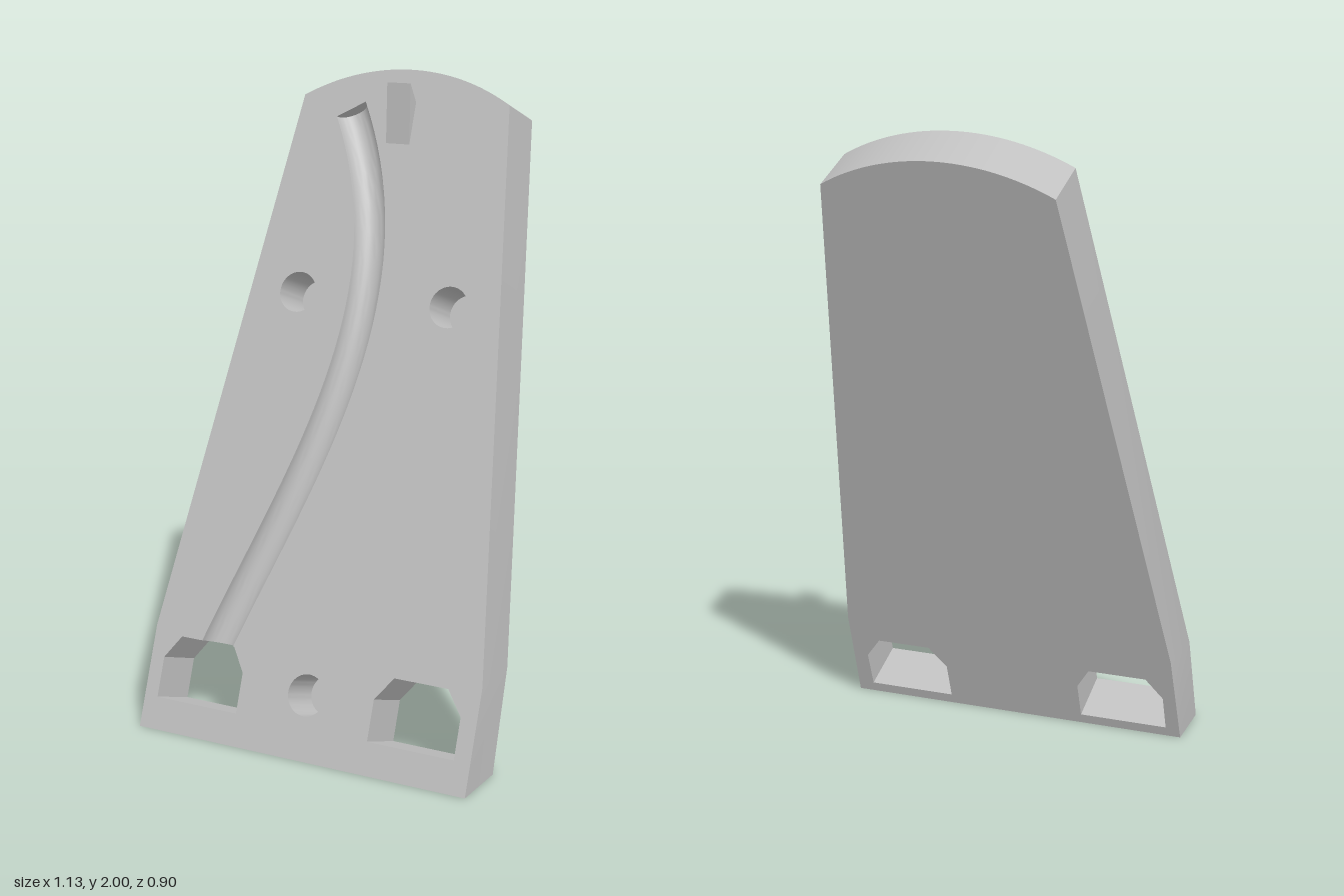
import * as THREE from 'three';
import { toCreasedNormals } from 'three/addons/utils/BufferGeometryUtils.js';

const V2 = (x, y) => new THREE.Vector2(x, y);
const V3 = (x, y, z) => new THREE.Vector3(x, y, z);
const TILT = THREE.MathUtils.degToRad(20);
const T = 0.1785; // slab thickness
const HOLE_DEPTH = 0.15, HOLE_R = 0.063, GROOVE_R = 0.053;

// Skin between successive rows of points
function loft(rows, closed) {
  const pos = [];
  for (let r = 0; r < rows.length - 1; r++) {
    const a = rows[r], b = rows[r + 1], n = a.length;
    for (let i = 0; i < (closed ? n : n - 1); i++) {
      const j = (i + 1) % n;
      for (const p of [a[i], b[i], b[j], a[i], b[j], a[j]]) pos.push(p.x, p.y, p.z);
    }
  }
  const g = new THREE.BufferGeometry();
  g.setAttribute('position', new THREE.Float32BufferAttribute(pos, 3));
  g.computeVertexNormals();
  return toCreasedNormals(g, 0.5);
}

const atDepth = (pts, z) => pts.map((p) => V3(p.x, p.y, z));

// Slab outline, counter-clockwise; the back copy has a sheared foot
function outline(back) {
  const lift = back ? T * Math.tan(TILT) : 0;
  const cornerX = 0.563 - lift * 0.123;
  const pts = [V2(-0.563, lift), V2(0.563, lift), V2(cornerX, 0.319 + lift)];
  const half = 0.527, R = 0.7, n = 32;
  for (let i = 0; i <= n; i++) {
    const a = half - (2 * half * i) / n;
    pts.push(V2(R * Math.sin(a), 1.428 + R * Math.cos(a)));
  }
  pts.push(V2(-cornerX, 0.319 + lift));
  return pts;
}

// Chamfered window, counter-clockwise, closing along its top edge
const TOP = 0.298, MID = 0.225, BOTTOM = 0.1;
const windowPts = ([x0, x1, x2, x3]) => [
  V2(x1, TOP), V2(x0, MID), V2(x0, BOTTOM), V2(x3, BOTTOM), V2(x3, MID), V2(x2, TOP),
];

function circlePts(cx, cy, n = 48) {
  return Array.from({ length: n }, (_, i) => {
    const a = (i / n) * Math.PI * 2;
    return V2(cx + HOLE_R * Math.cos(a), cy + HOLE_R * Math.sin(a));
  });
}

// Half-round sections along the curved channel, starting flush with the window top
function grooveRows() {
  const path = new THREE.CurvePath();
  path.add(new THREE.CubicBezierCurve(V2(-0.335, TOP), V2(-0.206, 0.678), V2(-0.032, 1.057), V2(-0.032, 1.437)));
  path.add(new THREE.CubicBezierCurve(V2(-0.032, 1.437), V2(-0.032, 1.623), V2(-0.076, 1.809), V2(-0.18, 1.995)));
  const rows = [], steps = 36, sides = 20;
  for (let k = 0; k <= steps; k++) {
    const c = path.getPointAt(k / steps), t = path.getTangentAt(k / steps);
    const row = [];
    for (let i = 0; i <= sides; i++) {
      const a = (Math.PI * i) / sides, w = GROOVE_R * Math.cos(a);
      const p = V3(c.x + t.y * w, c.y - t.x * w, -GROOVE_R * Math.sin(a));
      if (k === 0) {
        p.x += (t.x * (TOP - p.y)) / t.y;
        p.y = TOP;
      }
      row.push(p);
    }
    rows.push(row);
  }
  return rows;
}

export function createModel() {
  const model = new THREE.Group();
  const grey = new THREE.MeshStandardMaterial({ color: 0xc0c0c0 });
  grey.name = 'grey';
  const slab = new THREE.Group();
  slab.name = 'leaningSlab';
  slab.rotation.x = -TILT;
  slab.position.z = 0.45;
  model.add(slab);
  const add = (name, geometry) => {
    const mesh = new THREE.Mesh(geometry, grey);
    mesh.name = name;
    slab.add(mesh);
    return mesh;
  };

  const left = windowPts([0.225, 0.28, 0.457, 0.51]);
  const right = windowPts([-0.517, -0.465, -0.275, -0.23]);
  const holes = [[-0.26, 1.41], [0.26, 1.41], [0, 0.197]];
  const rows = grooveRows();

  // Front face with the channel and right window as one opening
  const edge = (i) => rows.map((r) => V2(r[i].x, r[i].y));
  const last = rows[0].length - 1;
  const front = new THREE.Shape(outline(false));
  front.holes.push(new THREE.Path([...right, ...edge(0), ...edge(last).reverse()]));
  front.holes.push(new THREE.Path(left));
  for (const [x, y] of holes) front.holes.push(new THREE.Path(circlePts(x, y)));
  add('frontFace', new THREE.ShapeGeometry(front));

  // Back face with both windows
  const back = new THREE.Shape(outline(true));
  back.holes.push(new THREE.Path(left), new THREE.Path(right));
  const backFace = new THREE.ShapeGeometry(back);
  backFace.rotateY(Math.PI);
  backFace.scale(1, 1, 1);
  // Un-mirror x so the openings line up with the front, flipping the winding back
  const bp = backFace.attributes.position, idx = backFace.index;
  for (let i = 0; i < bp.count; i++) bp.setXYZ(i, -bp.getX(i), bp.getY(i), -T);
  for (let i = 0; i < idx.count; i += 3) {
    const a = idx.getX(i);
    idx.setX(i, idx.getX(i + 2));
    idx.setX(i + 2, a);
  }
  backFace.computeVertexNormals();
  add('backFace', backFace);

  // Outer rim
  add('rim', loft([atDepth(outline(false), 0), atDepth(outline(true), -T)], true));

  // Window walls
  const inner = (pts, depth, closed) => {
    const p = [...pts].reverse();
    return loft([atDepth(p, 0), atDepth(p, -depth)], closed);
  };
  add('leftWindowWalls', inner(left, T, true));
  add('rightWindowWalls', inner(right, T, false));

  // Top wall of the right window, notched where the channel opens into it
  const x1 = right[0].x, x2 = right[5].x;
  const notch = new THREE.ShapeGeometry(new THREE.Shape([
    V2(x1, -T), V2(x2, -T), V2(x2, 0), ...rows[0].map((p) => V2(p.x, p.z)), V2(x1, 0),
  ]));
  notch.rotateX(Math.PI / 2);
  notch.translate(0, TOP, 0);
  add('rightWindowTop', notch);

  // Channel with its flat upper end
  const end = rows[rows.length - 1];
  const mid = end[0].clone().add(end[last]).multiplyScalar(0.5);
  add('channel', loft([...rows, end.map(() => mid)], false));

  // Blind round holes
  for (const [x, y] of holes) {
    add('holeWall', inner(circlePts(x, y), HOLE_DEPTH, true));
    add('holeFloor', new THREE.CircleGeometry(HOLE_R, 48)).position.set(x, y, -HOLE_DEPTH);
  }

  // Small wedge-shaped hook: profile in (along slab, height)
  const profile = new THREE.Shape([V2(1.895, 0), V2(2.027, 0), V2(2.071, 0.056)]);
  const hook = new THREE.ExtrudeGeometry(profile, { depth: 0.08, bevelEnabled: false });
  hook.applyMatrix4(new THREE.Matrix4().makeBasis(V3(0, 1, 0), V3(0, 0, 1), V3(1, 0, 0)));
  hook.translate(-0.04, 0, 0);
  add('hook', hook);

  return model;
}
